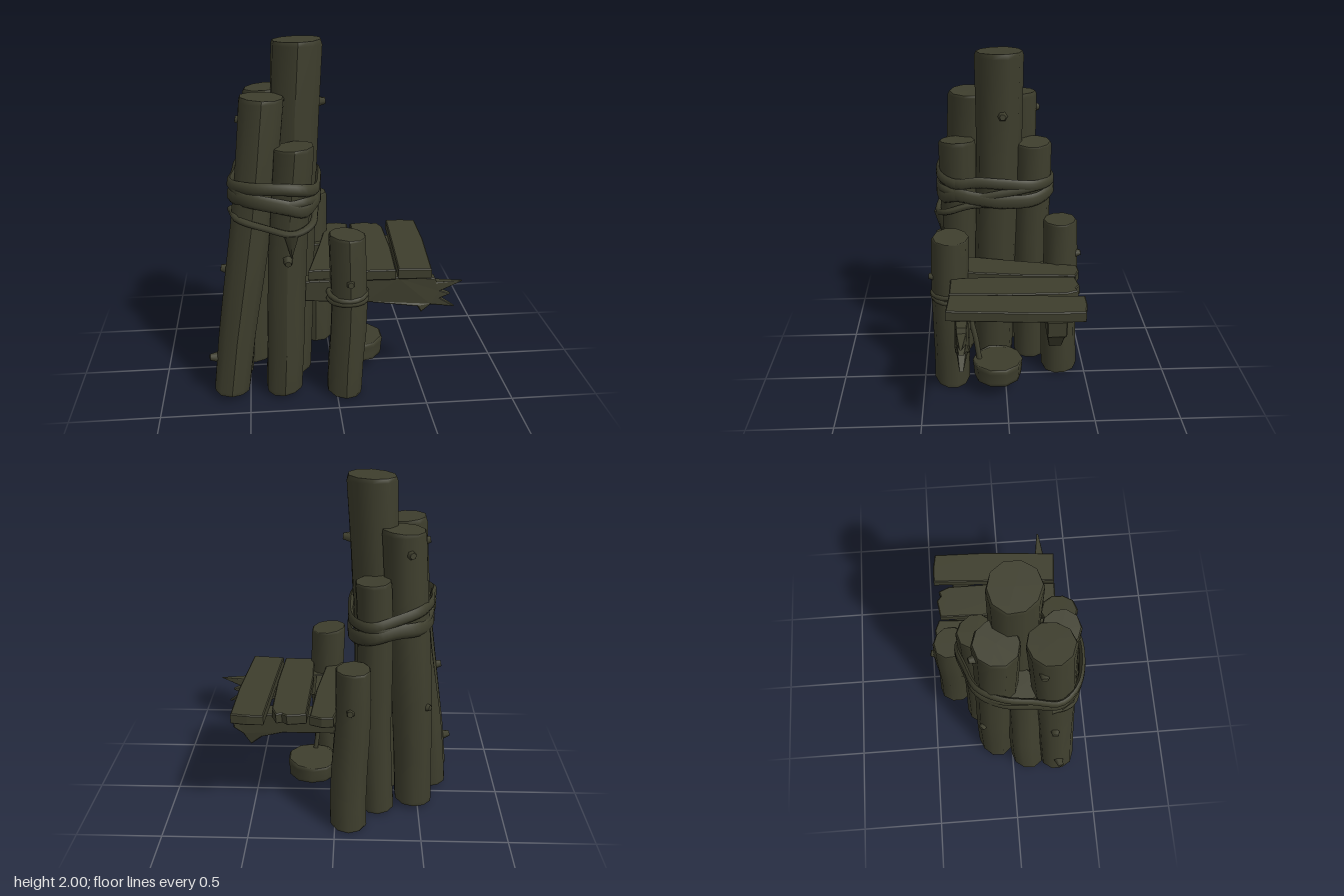
import * as THREE from 'three';

const wood = new THREE.MeshStandardMaterial({ color: 0x3e3e2d });
wood.name = 'dark mossy wood';

function add(group, name, geometry) {
  const mesh = new THREE.Mesh(geometry, wood);
  mesh.name = name;
  group.add(mesh);
  return mesh;
}

// A leaning log with level, chamfered ends and a slightly uneven trunk
function logGeometry(top, bottom, rTop, rBottom, seed) {
  const rows = [0, 0.015, 0.2, 0.4, 0.6, 0.8, 0.988, 1];
  const last = rows.length - 1;
  const uneven = Math.min(1, top[1] - bottom[1]);
  const geo = new THREE.CylinderGeometry(1, 1, 1, 10, last);
  const pos = geo.attributes.position;
  for (let i = 0; i < pos.count; i++) {
    const row = Math.round((pos.getY(i) + 0.5) * last);
    const t = rows[row];
    const x = pos.getX(i), z = pos.getZ(i);
    const a = Math.atan2(z, x);
    const end = row === 0 || row === last ? 0.94 : 1;
    const bump = 1 + 0.025 * Math.sin(2 * a + seed) + 0.025 * uneven * Math.sin(3 * a + seed * 2 + row * 1.3);
    const r = THREE.MathUtils.lerp(rBottom, rTop, t) * end * bump;
    const sway = 0.008 * uneven * Math.sin(t * Math.PI * 2 + seed);
    pos.setXYZ(i,
      THREE.MathUtils.lerp(bottom[0], top[0], t) + x * r + sway,
      THREE.MathUtils.lerp(bottom[1], top[1], t) + (end < 1 ? 0.01 * x * Math.sin(seed) : 0),
      THREE.MathUtils.lerp(bottom[2], top[2], t) + z * r + sway * 0.5);
  }
  geo.computeVertexNormals();
  return geo;
}

// Flat outline given as [x, y] pairs, pulled to a thickness
function slab(points, depth) {
  const shape = new THREE.Shape(points.map(([x, y]) => new THREE.Vector2(x, y)));
  return new THREE.ExtrudeGeometry(shape, {
    depth, bevelEnabled: true, bevelThickness: 0.006, bevelSize: 0.006, bevelSegments: 1,
  });
}

// Narrows a beam in z along one axis, from full at one position to its least at another
function taper(geo, axis, from, to, mid, least) {
  const pos = geo.attributes.position;
  for (let i = 0; i < pos.count; i++) {
    const t = THREE.MathUtils.clamp((pos.getComponent(i, axis) - from) / (to - from), 0, 1);
    pos.setZ(i, mid + (pos.getZ(i) - mid) * (1 - (1 - least) * t));
  }
  geo.computeVertexNormals();
  return geo;
}

// Closed band through [x, z] points, undulating around a height and taller than thick
function band(points, y, wave, phase, radius, extraHeight) {
  const curve = new THREE.CatmullRomCurve3(points.map(([x, z], i) =>
    new THREE.Vector3(x, y - 0.1 * (x + 0.3) + wave * Math.sin(i * 1.25 + phase), z)), true);
  const geo = new THREE.TubeGeometry(curve, 60, radius, 6, true);
  const { position, normal } = geo.attributes;
  for (let i = 0; i < position.count; i++) {
    position.setY(i, position.getY(i) + normal.getY(i) * extraHeight);
  }
  geo.computeVertexNormals();
  return geo;
}

// Open rope through [x, y, z] points
function rope(points, radius) {
  const curve = new THREE.CatmullRomCurve3(points.map(p => new THREE.Vector3(...p)));
  return new THREE.TubeGeometry(curve, 30, radius, 6);
}

export function createModel() {
  const model = new THREE.Group();
  model.name = 'log tower with platform';

  // Standing logs: name, top, bottom, top radius, bottom radius
  const logs = [
    ['tallLog', [-0.192, 2.0, 0.02], [-0.26, 0.03, 0.06], 0.14, 0.122],
    ['backLeaningLog', [-0.37, 1.73, -0.08], [-0.48, 0.03, -0.1], 0.125, 0.115],
    ['frontLeaningLog', [-0.38, 1.73, 0.19], [-0.6, 0.04, 0.29], 0.126, 0.108],
    ['backMiddleLog', [-0.2, 1.47, -0.17], [-0.25, 0.02, -0.17], 0.104, 0.103],
    ['frontMiddleLog', [-0.23, 1.48, 0.265], [-0.31, 0.03, 0.29], 0.11, 0.105],
    ['sideLog', [-0.44, 1.2, 0.05], [-0.59, 0.04, 0.1], 0.1, 0.105],
    ['frontShortLog', [0.065, 0.99, 0.32], [0.055, 0.015, 0.33], 0.107, 0.105],
    ['backShortLog', [-0.1, 1.02, -0.33], [-0.08, 0.015, -0.345], 0.1, 0.112],
    ['stumpStep', [0.148, 0.215, 0.05], [0.148, 0.11, 0.05], 0.154, 0.145],
  ];
  logs.forEach(([name, top, bottom, rt, rb], i) =>
    add(model, name, logGeometry(top, bottom, rt, rb, i * 1.7 + 0.5)));

  // Broken branch stubs: position, outward direction
  const stubs = [
    [[-0.065, 1.66, 0.01], [1, 0.1, 0]],
    [[-0.5, 1.6, 0.15], [-1, 0.2, 0]],
    [[-0.4, 1.62, -0.19], [-0.3, 0.1, -1]],
    [[-0.61, 0.78, 0.24], [-1, 0.2, 0]],
    [[-0.695, 0.25, 0.29], [-1, 0.1, 0.2]],
    [[0.065, 0.74, 0.42], [0, 0.1, 1]],
    [[-0.09, 0.8, -0.43], [0.1, 0.2, -1]],
    [[-0.27, 0.87, 0.38], [0, -0.2, 1]],
    [[-0.52, 0.7, -0.17], [-0.8, 0.1, -0.6]],
  ];
  for (const [p, d] of stubs) {
    const stub = add(model, 'branchStub', new THREE.CylinderGeometry(0.018, 0.034, 0.06, 6));
    stub.position.set(...p);
    stub.quaternion.setFromUnitVectors(new THREE.Vector3(0, 1, 0), new THREE.Vector3(...d).normalize());
  }

  // Ropes binding the tall logs
  const loop = [[-0.11, 0.28], [-0.09, 0.16], [-0.08, 0.02], [-0.1, -0.18], [-0.2, -0.283], [-0.33, -0.25],
    [-0.46, -0.19], [-0.53, -0.06], [-0.55, 0.1], [-0.565, 0.25], [-0.47, 0.35], [-0.28, 0.385], [-0.17, 0.36]];
  add(model, 'upperRope', band(loop, 1.265, 0.018, 0, 0.017, 0.016));
  add(model, 'middleRope', band(loop, 1.18, 0.018, 1.8, 0.018, 0.024));
  add(model, 'crossingRope', band(loop, 1.22, 0.03, 3.6, 0.015, 0.01));

  // Slack rope hanging across the front with a knot below
  add(model, 'slackRope', rope([[-0.57, 1.12, 0.2], [-0.53, 1.1, 0.32], [-0.38, 1.06, 0.37],
    [-0.24, 1.03, 0.39], [-0.14, 1.06, 0.34], [-0.11, 1.11, 0.2], [-0.1, 1.12, 0.0]], 0.02));
  const knot = add(model, 'ropeKnot', new THREE.ConeGeometry(0.045, 0.15, 6));
  knot.rotation.x = Math.PI;
  knot.position.set(-0.25, 0.95, 0.375);

  // Ropes around the front short log, with a loose end
  for (const [y, tilt] of [[0.65, 0.12], [0.61, -0.1]]) {
    const ring = add(model, 'shortLogRope', new THREE.TorusGeometry(0.106, 0.016, 6, 16));
    ring.rotation.x = Math.PI / 2 + tilt;
    ring.position.set(0.06, y, 0.325);
  }
  add(model, 'looseRope', rope([[0.09, 0.62, 0.22], [0.1, 0.48, 0.21], [0.12, 0.34, 0.18], [0.14, 0.2, 0.16]], 0.016));

  // Platform planks, outlined in x and z with worn ends
  const planks = [
    [[0.01, -0.42], [0.07, -0.425], [0.13, -0.4], [0.11, -0.1], [0.06, 0.27], [-0.15, 0.28], [-0.07, -0.05]],
    [[0.16, -0.39], [0.26, -0.405], [0.29, -0.38], [0.32, -0.39], [0.345, -0.33], [0.345, 0], [0.325, 0.32], [0.155, 0.315], [0.145, 0.1]],
    [[0.395, -0.42], [0.48, -0.42], [0.567, -0.405], [0.56, -0.1], [0.525, 0.335], [0.35, 0.32], [0.37, 0]],
  ];
  planks.forEach((outline, i) => {
    const plank = add(model, 'platformPlank', slab(outline, 0.05));
    plank.rotation.x = Math.PI / 2;
    plank.position.y = 0.763 + (i - 1) * 0.004;
  });

  // Splintered beam under the front edge
  const frontBeam = add(model, 'frontBeam', taper(slab([[-0.18, 0.59], [0.17, 0.57], [0.47, 0.525], [0.49, 0.49],
    [0.54, 0.53], [0.68, 0.5], [0.59, 0.56], [0.65, 0.58], [0.59, 0.605], [0.72, 0.655], [0.57, 0.655],
    [0.56, 0.685], [0.35, 0.705], [-0.18, 0.7]], 0.08), 0, 0.45, 0.72, 0.045, 0.12));
  frontBeam.position.z = 0.215;

  // Beam under the back edge, with its broken end hanging down
  const backBeam = add(model, 'backBeam', taper(slab([[-0.18, 0.6], [0.3, 0.6], [0.42, 0.57], [0.48, 0.52],
    [0.52, 0.59], [0.57, 0.63], [0.575, 0.71], [-0.18, 0.71]], 0.1), 1, 0.64, 0.52, 0.045, 0.65));
  backBeam.position.z = -0.305;

  // Short tie bar seen between the planks
  const tie = add(model, 'tieBar', new THREE.BoxGeometry(0.06, 0.05, 0.52));
  tie.position.set(0.1, 0.68, 0);

  return model;
}
